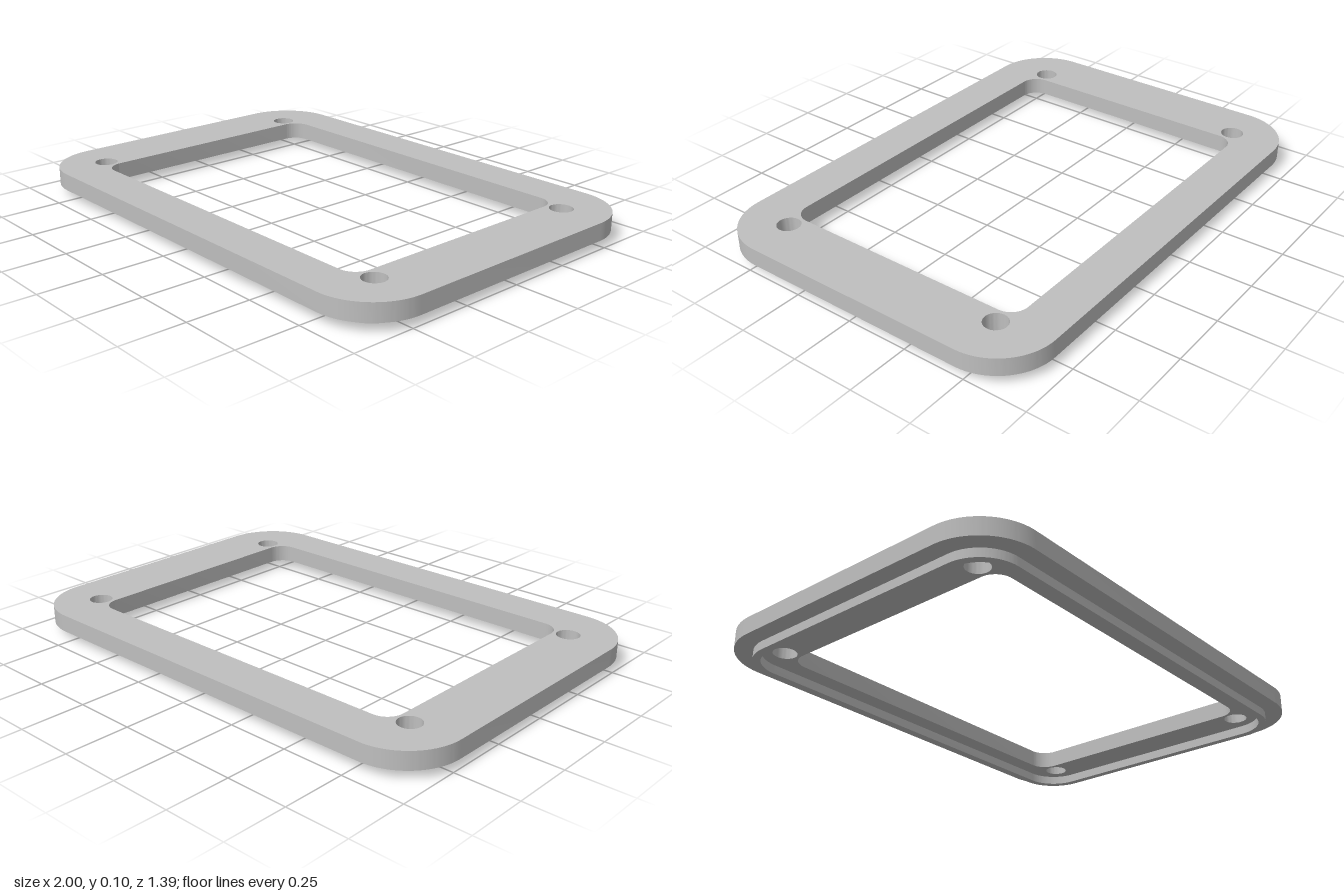
import * as THREE from 'three';
import { toCreasedNormals } from 'three/addons/utils/BufferGeometryUtils.js';

// Rounded rectangle centred on the origin, from half sizes and corner radius
function roundedRect(path, hx, hz, r) {
  path.absarc(hx - r, hz - r, r, 0, Math.PI / 2);
  path.absarc(-hx + r, hz - r, r, Math.PI / 2, Math.PI);
  path.absarc(-hx + r, -hz + r, r, Math.PI, Math.PI * 1.5);
  path.absarc(hx - r, -hz + r, r, Math.PI * 1.5, Math.PI * 2);
  path.closePath();
  return path;
}

// Horizontal slab of a shape between two heights
function slab(name, shape, y0, y1, material) {
  const geo = new THREE.ExtrudeGeometry(shape, { depth: y1 - y0, bevelEnabled: false, curveSegments: 20 });
  geo.rotateX(-Math.PI / 2);
  geo.translate(0, y0, 0);
  const mesh = new THREE.Mesh(toCreasedNormals(geo, 0.6), material);
  mesh.name = name;
  return mesh;
}

export function createModel() {
  const group = new THREE.Group();
  group.name = 'bezelFrame';
  const grey = new THREE.MeshStandardMaterial({ color: 0xbfbfbf });
  grey.name = 'lightGrey';

  // Flat frame with a central opening and four screw holes
  const plate = roundedRect(new THREE.Shape(), 1, 0.695, 0.23);
  plate.holes.push(roundedRect(new THREE.Path(), 0.755, 0.522, 0.07));
  for (const sx of [-1, 1]) {
    for (const sz of [-1, 1]) {
      plate.holes.push(new THREE.Path().absarc(sx * 0.81, sz * 0.485, 0.046, 0, Math.PI * 2));
    }
  }
  group.add(slab('framePlate', plate, 0.035, 0.105, grey));

  // Thin locating lip beneath the frame
  const lip = roundedRect(new THREE.Shape(), 0.93, 0.625, 0.16);
  lip.holes.push(roundedRect(new THREE.Path(), 0.9, 0.595, 0.13));
  group.add(slab('locatingLip', lip, 0, 0.035, grey));

  return group;
}
